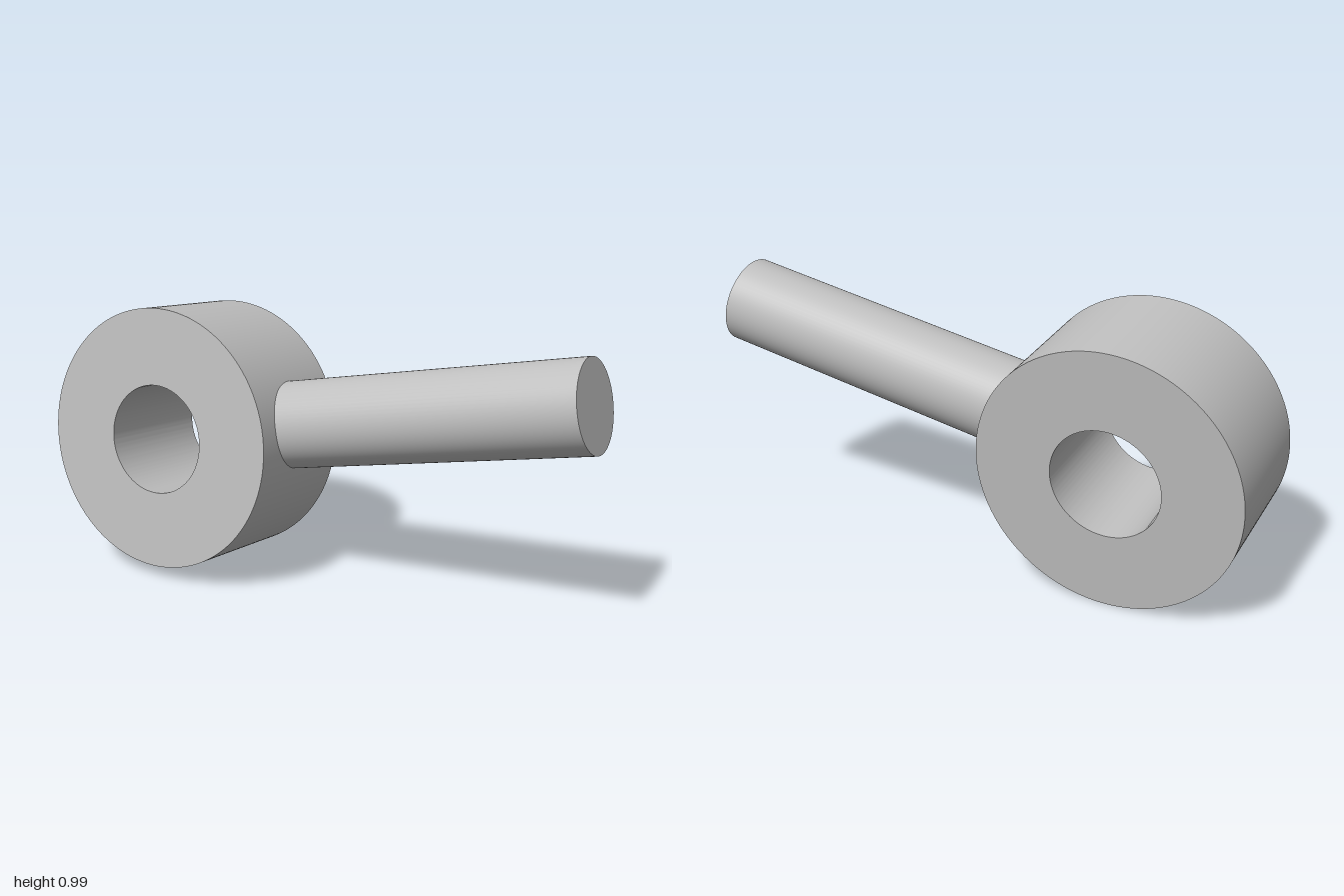
import * as THREE from 'three';
import { toCreasedNormals } from 'three/addons/utils/BufferGeometryUtils.js';

const OUTER = 0.475, BORE = 0.198, WIDTH = 0.474;
const ROD_RADIUS = 0.157, ROD_START = 0.32, ROD_END = 1.582;

// Ring with a round bore, its axis along local x
function ringGeometry() {
  const shape = new THREE.Shape().absarc(0, 0, OUTER, 0, Math.PI * 2, false);
  shape.holes.push(new THREE.Path().absarc(0, 0, BORE, 0, Math.PI * 2, true));
  const geo = new THREE.ExtrudeGeometry(shape, { depth: WIDTH, bevelEnabled: false, curveSegments: 96 });
  geo.translate(0, 0, -WIDTH / 2).rotateY(Math.PI / 2);
  return toCreasedNormals(geo, 0.5);
}

// Rod running radially out of the ring along local z
function rodGeometry() {
  const geo = new THREE.CylinderGeometry(ROD_RADIUS, ROD_RADIUS, ROD_END - ROD_START, 72);
  return geo.rotateX(Math.PI / 2).translate(0, 0, (ROD_START + ROD_END) / 2);
}

export function createModel() {
  const grey = new THREE.MeshStandardMaterial({ color: 0xbfbfbf });
  grey.name = 'grey metal';

  const ring = new THREE.Mesh(ringGeometry(), grey);
  ring.name = 'ring';
  const rod = new THREE.Mesh(rodGeometry(), grey);
  rod.name = 'rod';

  // Tilted assembly: x along the bore, z along the rod
  const eyeRod = new THREE.Group();
  eyeRod.name = 'eyeRod';
  eyeRod.add(ring, rod);
  const zAxis = new THREE.Vector3(0.679, 0.317, 1.394).normalize();
  const yAxis = zAxis.clone().cross(new THREE.Vector3(0.43, -0.046, -0.193)).normalize();
  const xAxis = yAxis.clone().cross(zAxis);
  eyeRod.quaternion.setFromRotationMatrix(new THREE.Matrix4().makeBasis(xAxis, yAxis, zAxis));
  eyeRod.position.set(-0.203, 0.495, -0.471);

  const model = new THREE.Group();
  model.name = 'model';
  model.add(eyeRod);
  return model;
}
